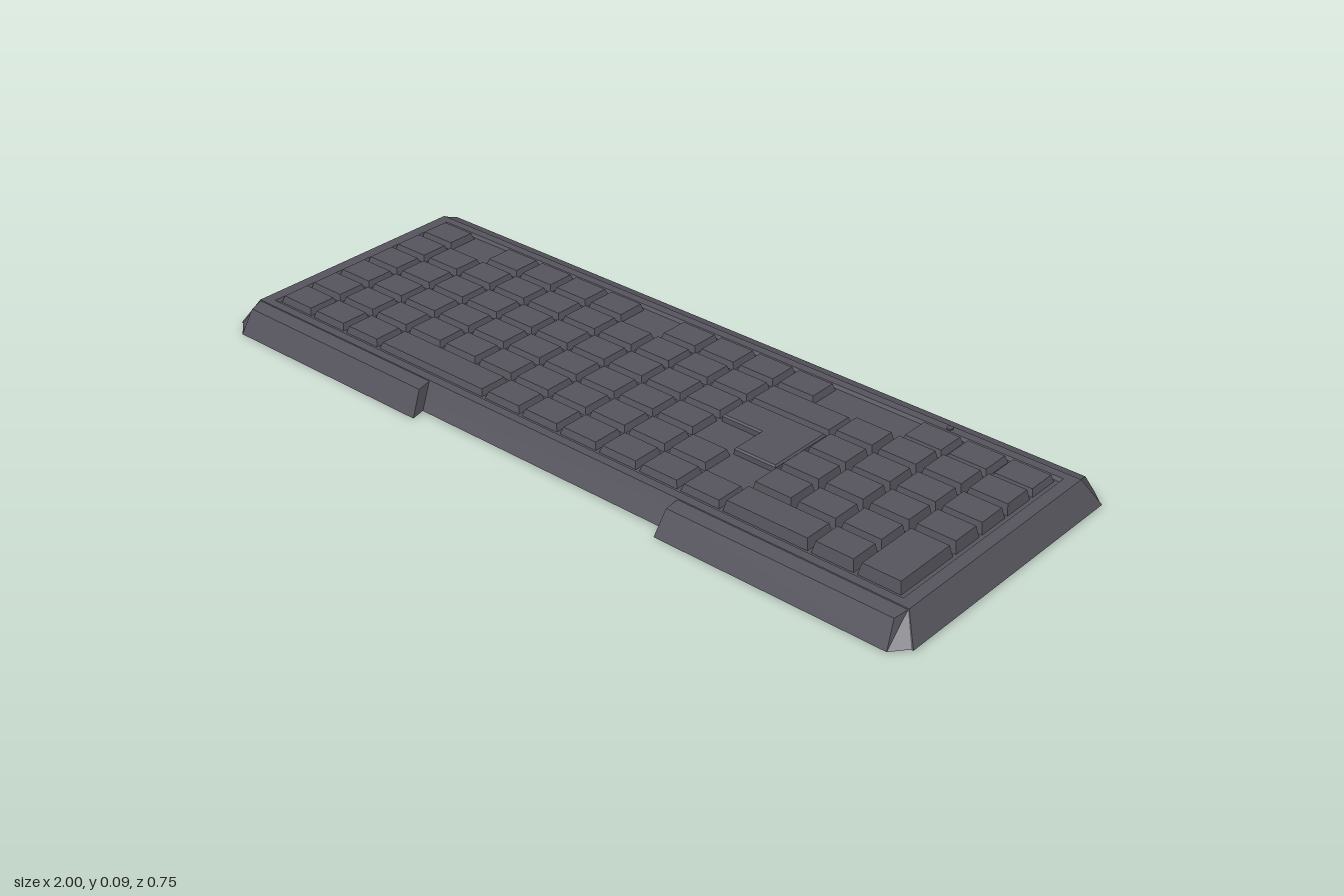
import * as THREE from 'three';

const material = new THREE.MeshStandardMaterial({ color: 0x55535c, flatShading: true });

// Skin a list of equal-length rings (counter-clockwise seen from the last ring) and cap both ends
function loft(rings) {
  const pos = [];
  const tri = (a, b, c) => pos.push(...a, ...b, ...c);
  const n = rings[0].length;
  for (let i = 0; i < rings.length - 1; i++) {
    for (let j = 0; j < n; j++) {
      const k = (j + 1) % n, lo = rings[i], hi = rings[i + 1];
      tri(lo[j], lo[k], hi[k]);
      tri(lo[j], hi[k], hi[j]);
    }
  }
  const first = rings[0], last = rings[rings.length - 1];
  for (let j = 1; j < n - 1; j++) {
    tri(first[0], first[j + 1], first[j]);
    tri(last[0], last[j], last[j + 1]);
  }
  const geo = new THREE.BufferGeometry();
  geo.setAttribute('position', new THREE.Float32BufferAttribute(pos, 3));
  geo.computeVertexNormals();
  return geo;
}

// Horizontal rectangle, counter-clockwise from above
const rect = (x0, x1, z0, z1, y) => [[x1, y, z1], [x1, y, z0], [x0, y, z0], [x0, y, z1]];

function add(parent, name, geo) {
  const mesh = new THREE.Mesh(geo, material);
  mesh.name = name;
  parent.add(mesh);
  return mesh;
}

const FLOOR = 0.06;
const PITCH_X = 0.1157, PITCH_Z = 0.0935;
const KEY_W = 0.107, KEY_D = 0.084;
const colX = (c) => -0.925 + c * PITCH_X;
const rowZ = (r) => -0.277 + r * PITCH_Z;

// Tapered keycap covering w columns and d rows
function key(parent, name, col, row, top, w = 1, d = 1) {
  const x0 = colX(col), x1 = x0 + KEY_W + (w - 1) * PITCH_X;
  const z0 = rowZ(row), z1 = z0 + KEY_D + (d - 1) * PITCH_Z;
  const t = 0.006;
  add(parent, name, loft([
    rect(x0, x1, z0, z1, FLOOR - 0.002),
    rect(x0 + t, x1 - t, z0 + t, z1 - t, top),
  ]));
}

export function createModel() {
  const model = new THREE.Group();
  model.name = 'keyboard';

  // Case with sloping sides, flat rim and a shallow key well
  add(model, 'case', loft([
    rect(-1, 1, -0.343, 0.343, 0.005),
    rect(-0.962, 0.962, -0.31, 0.31, 0.068),
    rect(-0.932, 0.932, -0.288, 0.288, 0.068),
    rect(-0.927, 0.927, -0.283, 0.283, FLOOR),
  ]));

  // Bevelled lips: profile as [end x, y, z], one along the back, two along the front
  const backProfile = [[0.96, 0.066, -0.311], [0.998, 0.008, -0.34], [0.96, 0.008, -0.375], [0.952, 0.055, -0.345]];
  add(model, 'backLip', loft([-1, 1].map((s) => backProfile.map(([x, y, z]) => [s * x, y, z]))));

  const frontProfile = [[0.96, 0.066, 0.311], [0.952, 0.06, 0.345], [0.96, 0, 0.375], [0.998, 0.006, 0.34]];
  const innerX = [0.372, 0.37, 0.362, 0.364];
  const outer = frontProfile;
  const inner = frontProfile.map(([, y, z], i) => [innerX[i], y, z]);
  const mirror = (ring) => ring.map(([x, y, z]) => [-x, y, z]);
  add(model, 'leftFrontLip', loft([inner, outer]));
  add(model, 'rightFrontLip', loft([mirror(outer), mirror(inner)]));

  // Single keys: one character per column, row by row from the back
  const keys = new THREE.Group();
  keys.name = 'keys';
  model.add(keys);
  const layout = [
    'x.xxxx.xxxx..xxx',
    'xxxxxxxxxx..xxxx',
    'xxxxxxxxxx..xxxx',
    'xxxxxxxxxx..xxxx',
    'xxxxxxxxxxx.xxx.',
    'xxx...xxxxxx..x.',
  ];
  const padTop = [0.077, 0.085, 0.086, 0.088, 0.087, 0.088];
  layout.forEach((line, row) => [...line].forEach((ch, col) => {
    if (ch === 'x') key(keys, 'key', col, row, col >= 12 ? padTop[row] : 0.077);
  }));

  // Wide and tall keys
  key(keys, 'spaceBar', 3, 5, 0.076, 3);
  key(keys, 'backspaceKey', 10, 1, 0.077, 2);
  key(keys, 'padZeroKey', 12, 5, 0.086, 2);
  key(keys, 'padEnterKey', 15, 4, 0.088, 1, 2);

  // L-shaped enter key, drawn in plan with -z up
  const x0 = colX(10) + 0.004, xm = colX(11) - 0.004, x1 = colX(11) + KEY_W - 0.004;
  const z0 = rowZ(2) + 0.004, zm = rowZ(2) + KEY_D, z1 = rowZ(3) + KEY_D - 0.004;
  const plan = [[x0, zm], [xm, zm], [xm, z1], [x1, z1], [x1, z0], [x0, z0]];
  const shape = new THREE.Shape(plan.map(([x, z]) => new THREE.Vector2(x, -z)));
  const enterGeo = new THREE.ExtrudeGeometry(shape, {
    depth: 0.013, bevelThickness: 0.004, bevelSize: 0.004, bevelSegments: 1,
  });
  enterGeo.rotateX(-Math.PI / 2).translate(0, FLOOR, 0);
  add(keys, 'enterKey', enterGeo);

  // Small indicator light on the rim
  const light = add(model, 'indicatorLight', new THREE.CylinderGeometry(0.008, 0.008, 0.004, 8));
  light.position.set(0.635, 0.069, -0.298);

  return model;
}
